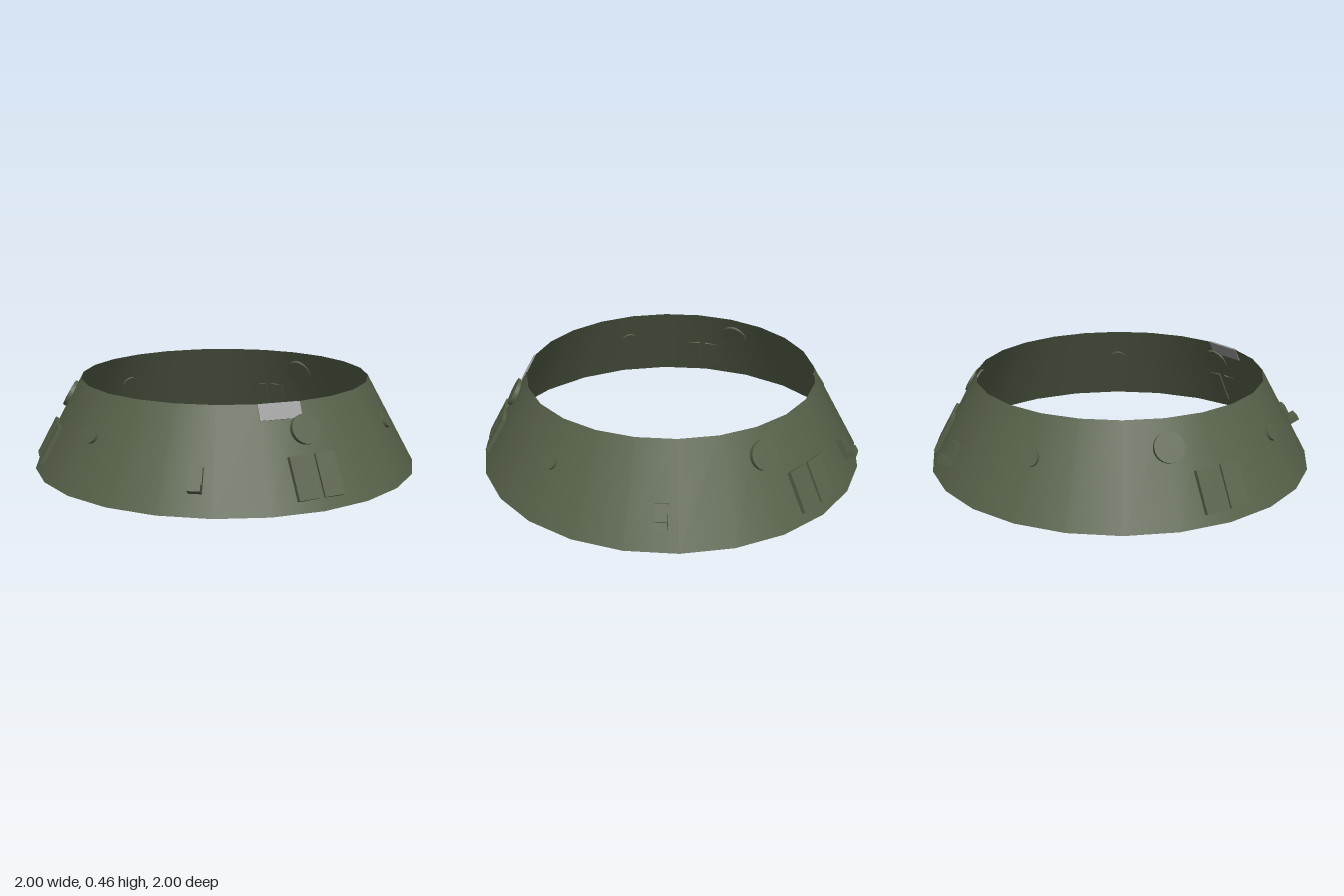
import * as THREE from 'three';

const HEIGHT = 0.46, R_BOTTOM = 1, R_TOP = 0.75;
const TILT = Math.atan2(R_BOTTOM - R_TOP, HEIGHT);
const deg = THREE.MathUtils.degToRad;

export function createModel() {
  const model = new THREE.Group();
  const olive = new THREE.MeshStandardMaterial({ color: 0x566049, side: THREE.DoubleSide });
  olive.name = 'olive';
  const grey = new THREE.MeshStandardMaterial({ color: 0x959595 });
  grey.name = 'grey';

  // Open conical wall
  const wall = new THREE.Mesh(
    new THREE.CylinderGeometry(R_TOP, R_BOTTOM, HEIGHT, 24, 1, true), olive);
  wall.position.y = HEIGHT / 2;
  wall.name = 'conicalWall';
  model.add(wall);

  // Group on the wall: local x runs around it, y up the slope, z outward
  function mount(name, angle, y, scale = 1) {
    const turn = new THREE.Group();
    turn.name = name;
    turn.rotation.y = deg(angle);
    const seat = new THREE.Group();
    const r = R_BOTTOM - (R_BOTTOM - R_TOP) * y / HEIGHT;
    seat.position.set(0, y, r * scale);
    seat.rotation.x = -TILT;
    turn.add(seat);
    model.add(turn);
    return seat;
  }
  function add(parent, geometry, material, name, x = 0, y = 0, z = 0) {
    const mesh = new THREE.Mesh(geometry, material);
    mesh.position.set(x, y, z);
    mesh.name = name;
    parent.add(mesh);
  }

  // Paired rectangular hatches
  const hatch = new THREE.BoxGeometry(0.103, 0.208, 0.022);
  for (const angle of [0, 135, -105]) {
    const seat = mount('hatchPair', angle, 0.145);
    for (const side of [-1, 1]) add(seat, hatch, olive, 'hatch', side * 0.068);
  }

  // Round covers: large ones high up, small ones between
  function covers(name, angles, y, radius, thickness) {
    const disc = new THREE.CylinderGeometry(radius, radius, thickness, 24);
    disc.rotateX(Math.PI / 2);
    for (const angle of angles) add(mount(name, angle, y), disc, olive, 'disc');
  }
  covers('largeCover', [0, 120, -120], 0.34, 0.073, 0.03);
  covers('smallCover', [45, -75, -165], 0.275, 0.046, 0.02);

  // L-shaped brackets
  const back = new THREE.BoxGeometry(0.062, 0.12, 0.03);
  const foot = new THREE.BoxGeometry(0.062, 0.036, 0.06);
  for (const angle of [85, -35, 160]) {
    const seat = mount('bracket', angle, 0.15);
    add(seat, back, olive, 'bracketBack', 0, 0, 0.01);
    add(seat, foot, olive, 'bracketFoot', 0, -0.042, 0.03);
  }

  // Grey patch on one facet at the top rim
  const patch = mount('rimPatch', -7.5, 0.425, Math.cos(deg(7.5)));
  add(patch, new THREE.BoxGeometry(0.21, 0.08, 0.009), grey, 'patch');

  return model;
}
